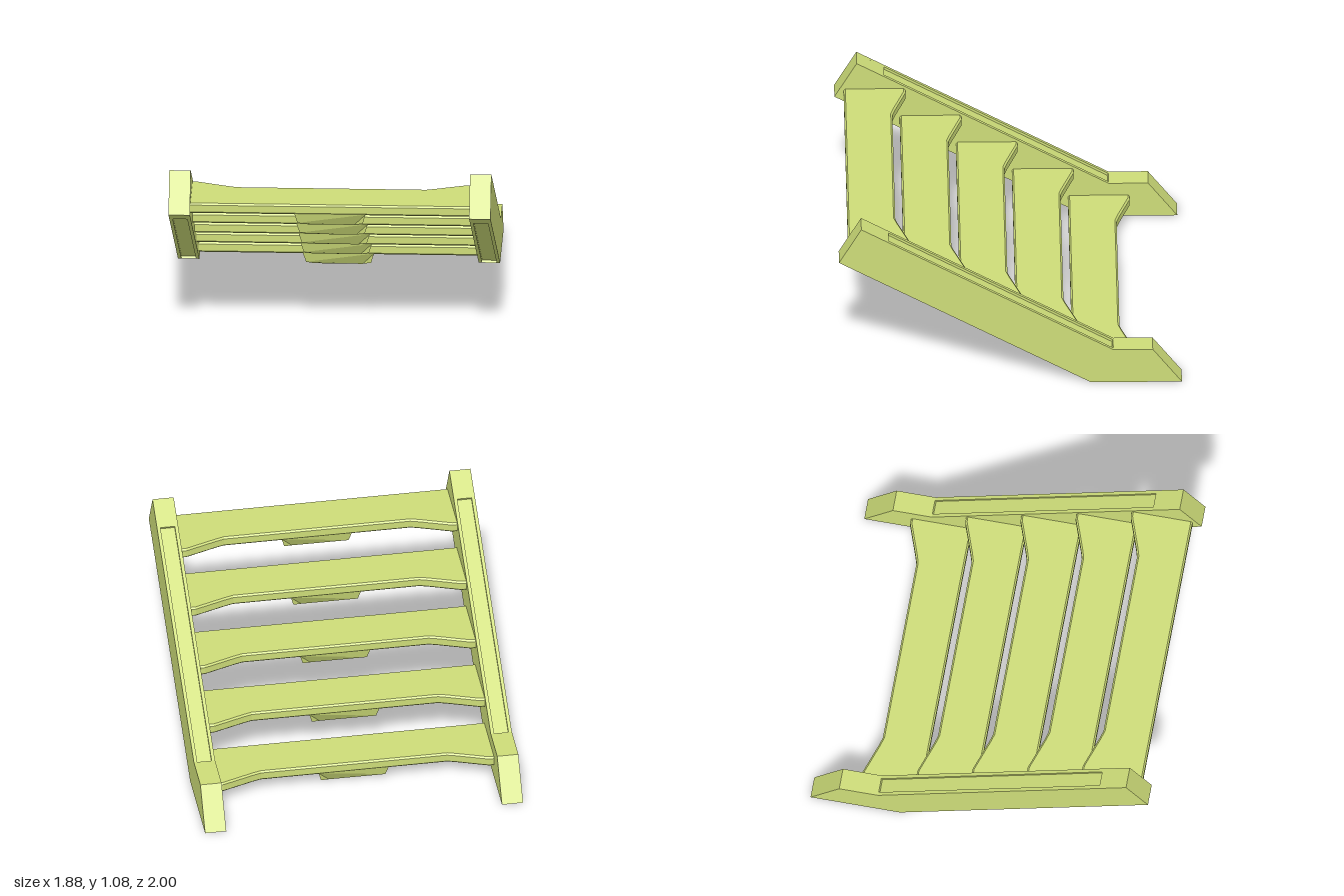
import * as THREE from 'three';

const material = new THREE.MeshStandardMaterial({ color: 0xcddc78 });
const shapeOf = (pts) => new THREE.Shape(pts.map(([a, b]) => new THREE.Vector2(a, b)));

// Extrudes a (z, y) side profile along x, centred on x
function sidePlate(points, x, width) {
  const geo = new THREE.ExtrudeGeometry(shapeOf(points), { depth: width, bevelEnabled: false });
  geo.rotateY(-Math.PI / 2);
  geo.translate(x + width / 2, 0, 0);
  return new THREE.Mesh(geo, material);
}

// Side rail: two full cheeks around a core with shallow grooves above and below
function sideRail(side) {
  const rail = new THREE.Group();
  const outline = [[-1, 0], [-0.47, 0], [1, 0.85], [0.87, 1.08], [-0.6, 0.227], [-0.83, 0.227]];
  const grooved = [
    [-1, 0], [-0.47, 0], [-0.478, 0.013], [0.852, 0.783], [0.86, 0.77], [1, 0.85],
    [0.87, 1.08], [0.71, 0.987], [0.717, 0.974], [-0.593, 0.214], [-0.6, 0.227], [-0.83, 0.227],
  ];
  const cheeks = [[0.825, 0.02], [0.93, 0.02]];
  cheeks.forEach(([x, w], i) => {
    const cheek = sidePlate(outline, side * x, w);
    cheek.name = i ? 'outerCheek' : 'innerCheek';
    rail.add(cheek);
  });
  const core = sidePlate(grooved, side * 0.8775, 0.085);
  core.name = 'groovedCore';
  rail.add(core);
  rail.name = side > 0 ? 'leftRail' : 'rightRail';
  return rail;
}

// Tread board: straight front edge, back edge flaring toward the rails
function treadGeometry() {
  const back = [[0.55, -0.14], [0.6, -0.155], [0.77, -0.215], [0.785, -0.22], [0.83, -0.22]];
  const mirrored = back.map(([x, z]) => [-x, z]).reverse();
  const plan = [...mirrored, ...back, [0.83, 0.14], [-0.83, 0.14]];
  const geo = new THREE.ExtrudeGeometry(shapeOf(plan), {
    depth: 0.042, bevelEnabled: true, bevelThickness: 0.01,
    bevelSize: 0.01, bevelOffset: -0.01, bevelSegments: 1,
  });
  geo.rotateX(Math.PI / 2);
  geo.translate(0, 0.021, 0);
  return geo;
}

// Block below the tread, tapering toward its underside
function blockGeometry() {
  const half = [[0.14, -0.082], [0.19, -0.063], [0.208, 0]];
  const points = [...half, ...half.map(([x, y]) => [-x, y]).reverse()];
  const geo = new THREE.ExtrudeGeometry(shapeOf(points), { depth: 0.25, bevelEnabled: false });
  geo.translate(0, 0, -0.125);
  const pos = geo.attributes.position;
  for (let i = 0; i < pos.count; i++) {
    const y = pos.getY(i);
    pos.setZ(i, pos.getZ(i) * (y < -0.07 ? 0.65 : y < -0.03 ? 0.88 : 1));
  }
  geo.computeVertexNormals();
  return geo;
}

export function createModel() {
  const model = new THREE.Group();
  model.name = 'stairs';
  model.add(sideRail(1), sideRail(-1));

  const board = treadGeometry();
  const block = blockGeometry();
  for (let i = 0; i < 5; i++) {
    const step = new THREE.Group();
    step.name = `step${i + 1}`;
    const tread = new THREE.Mesh(board, material);
    tread.name = 'tread';
    const support = new THREE.Mesh(block, material);
    support.name = 'treadBlock';
    support.position.y = -0.03;
    step.add(tread, support);
    step.position.set(0, 0.114 + i * 0.1895, -0.502 + i * 0.327);
    model.add(step);
  }
  return model;
}
